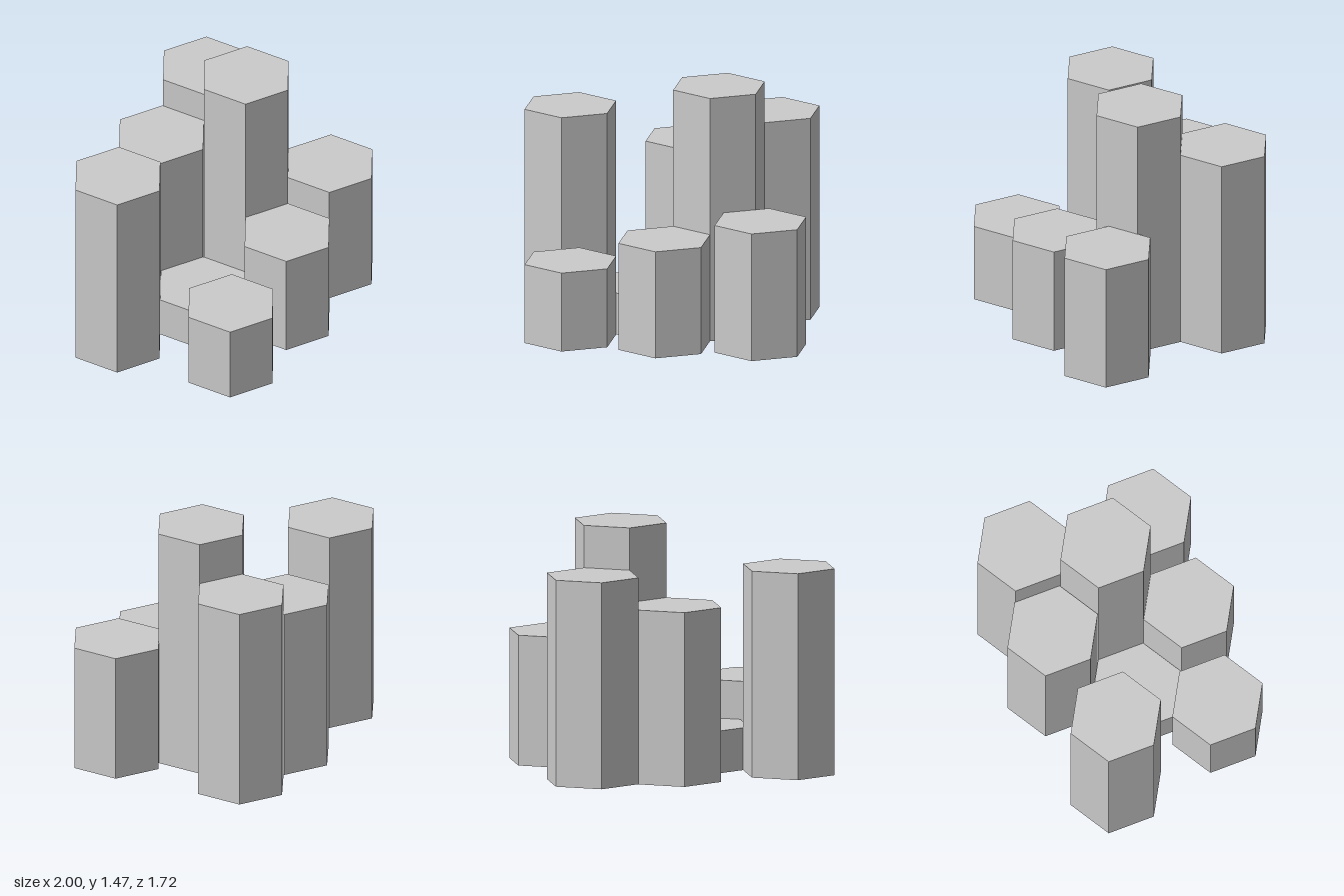
import * as THREE from 'three';

const RADIUS = 0.283;

// Each column: name, centre x, centre z, height
const COLUMNS = [
  ['leftOuterColumn', 0.717, 0.045, 0.77],
  ['leftFrontColumn', 0.252, 0.365, 0.645],
  ['leftMiddleColumn', 0.252, -0.125, 1.47],
  ['leftBackColumn', 0.252, -0.615, 1.22],
  ['rightBackColumn', -0.175, -0.375, 1.03],
  ['rightMiddleColumn', -0.175, 0.118, 0.25],
  ['rightFrontColumn', -0.259, 0.61, 0.475],
  ['rightOuterColumn', -0.717, 0.078, 1.22],
];

export function createModel() {
  const group = new THREE.Group();
  group.name = 'hexagonalColumns';
  const material = new THREE.MeshStandardMaterial({ color: 0xcccccc, flatShading: true });

  // Six-sided prisms standing on the ground, corners pointing along x
  for (const [name, x, z, height] of COLUMNS) {
    const geometry = new THREE.CylinderGeometry(RADIUS, RADIUS, height, 6);
    geometry.rotateY(Math.PI / 6);
    const column = new THREE.Mesh(geometry, material);
    column.name = name;
    column.position.set(x, height / 2, z);
    group.add(column);
  }
  return group;
}
